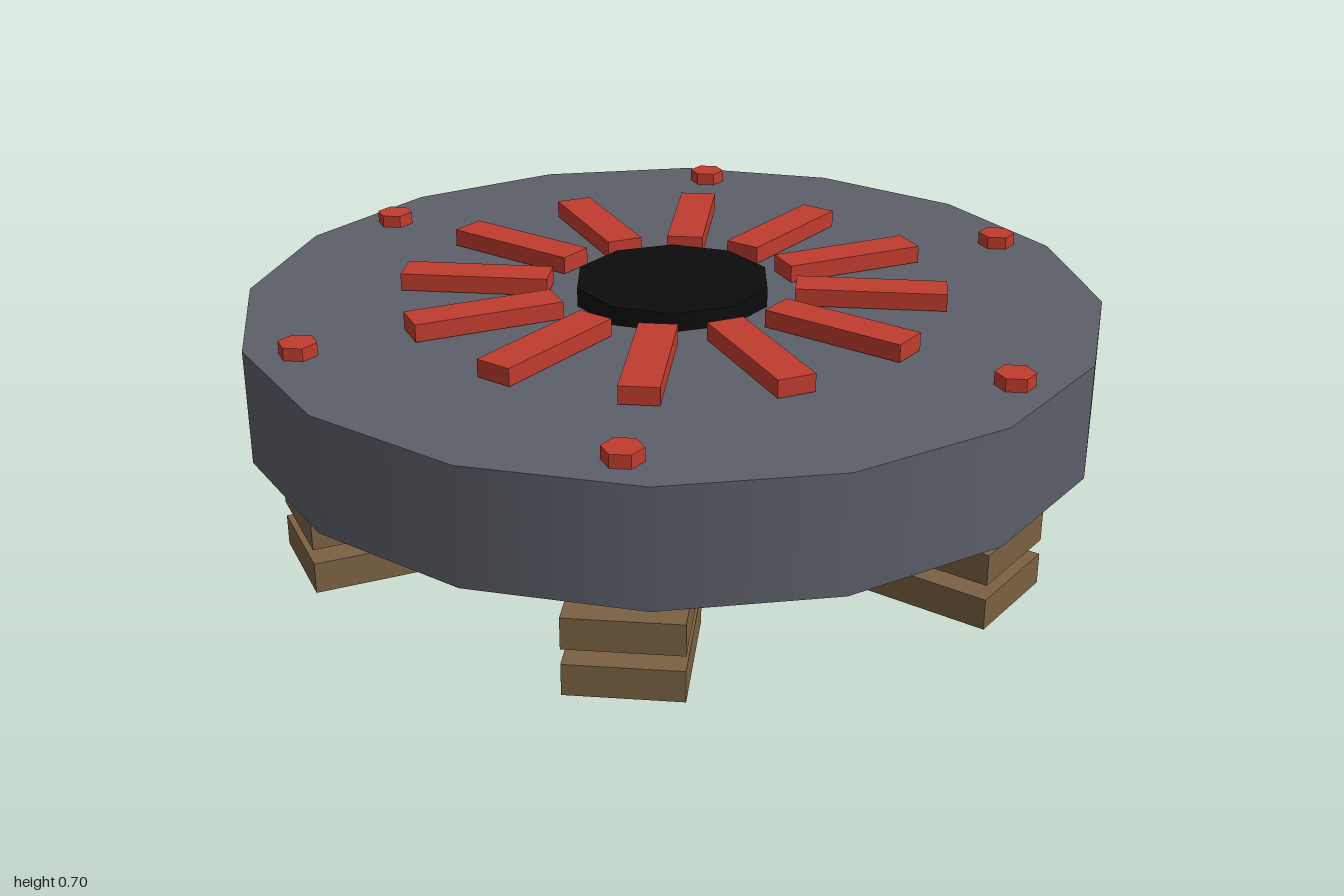
import * as THREE from 'three';

const mat = (name, color) => {
  const m = new THREE.MeshStandardMaterial({ color });
  m.name = name;
  return m;
};

export function createModel() {
  const steel = mat('steel grey', 0x5c5f69);
  const red = mat('red', 0xc03c2e);
  const brown = mat('friction brown', 0x7a6142);
  const black = mat('black', 0x0c0c0c);
  const model = new THREE.Group();

  const add = (name, geometry, material, parent = model) => {
    const mesh = new THREE.Mesh(geometry, material);
    mesh.name = name;
    parent.add(mesh);
    return mesh;
  };

  // Upright cylinder between two heights
  const disc = (name, r, y0, y1, sides, material, turn = 0) => {
    const m = add(name, new THREE.CylinderGeometry(r, r, y1 - y0, sides).rotateY(turn), material);
    m.position.y = (y0 + y1) / 2;
    return m;
  };

  // Copies of one part spaced evenly around the vertical axis
  const ring = (name, count, geometry, material) => {
    const group = new THREE.Group();
    group.name = name + 's';
    for (let i = 0; i < count; i++) {
      add(name, geometry, material, group).rotation.y = (i / count) * Math.PI * 2;
    }
    model.add(group);
  };

  const faceted = (g) => {
    const f = g.toNonIndexed();
    f.computeVertexNormals();
    return f;
  };

  // Pressure cover with central bearing
  disc('cover', 1.02, 0.38, 0.655, 16, steel, Math.PI / 16);
  disc('bearing', 0.235, 0.64, 0.7, 10, black);

  // Diaphragm fingers and bolts on the cover
  ring('finger', 12, new THREE.BoxGeometry(0.355, 0.042, 0.09).translate(0.4725, 0.679, 0), red);
  ring('bolt', 6, faceted(new THREE.CylinderGeometry(0.045, 0.045, 0.035, 6)).translate(0.907, 0.668, 0), red);

  // Splined hub
  disc('hub', 0.182, 0, 0.237, 12, steel);

  // Two friction plates, each with pads and damper springs
  const pad = new THREE.BoxGeometry(0.33, 0.074, 0.26);
  const spring = faceted(new THREE.CylinderGeometry(0.06, 0.06, 0.09, 5).rotateX(-Math.PI / 2));
  for (const [label, y] of [['lower', 0.168], ['upper', 0.278]]) {
    disc(label + 'Plate', 0.565, y - 0.023, y + 0.023, 16, steel, Math.PI / 16);
    ring(label + 'Pad', 6, pad.clone().translate(0.775, y - 0.007, 0), brown);
    ring(label + 'Spring', 6, spring.clone().translate(0.315, y - 0.039, -0.045), red);
  }

  return model;
}
